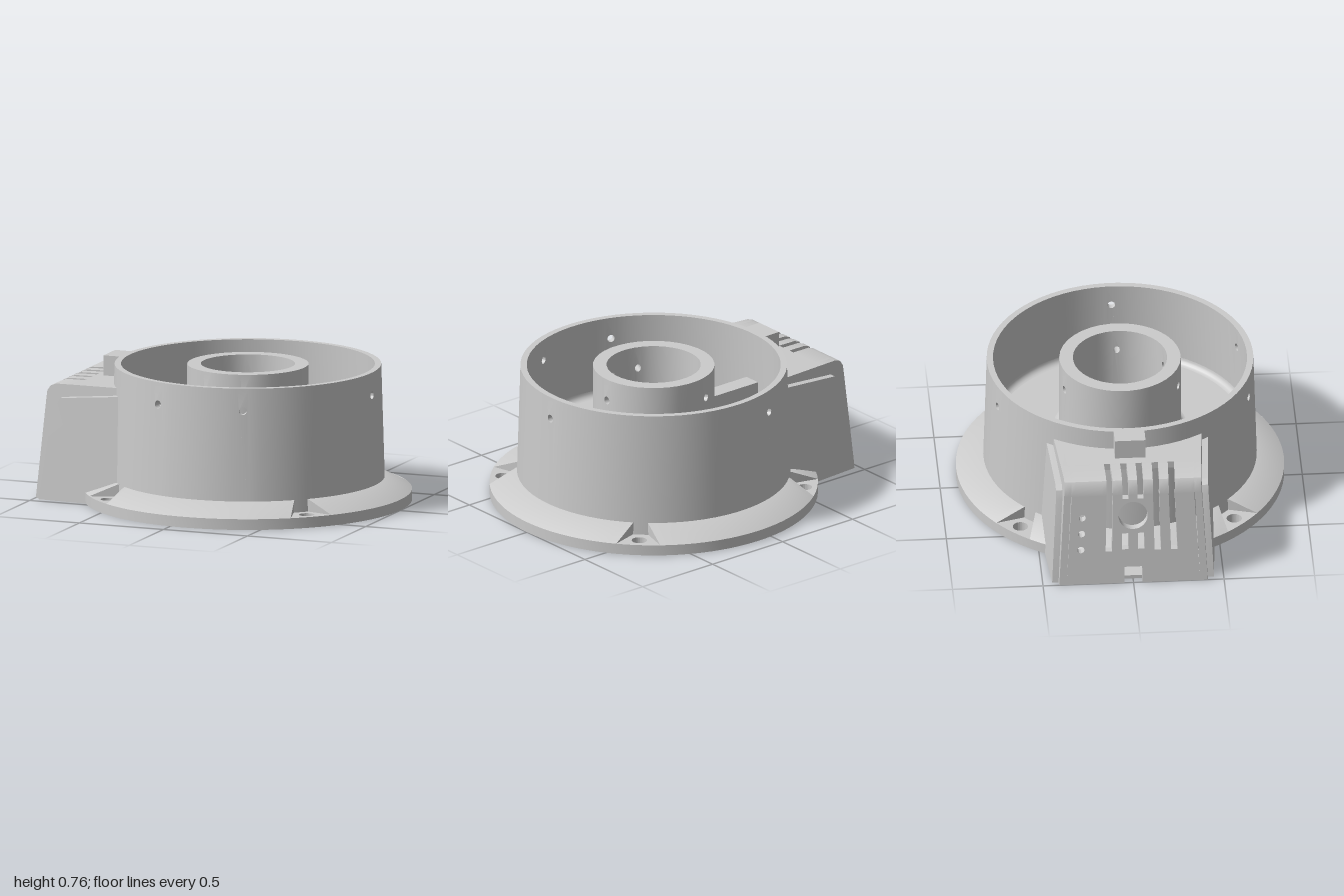
import * as THREE from 'three';
import { mergeGeometries, toCreasedNormals } from 'three/addons/utils/BufferGeometryUtils.js';

const mat = new THREE.MeshStandardMaterial({ color: 0xcccccc, side: THREE.DoubleSide });
const CX = 0.095, RAD = Math.PI / 180;
const HOLE_ANGLES = [20, 90, 200, 340]; // measured from +z towards +x

const toShape = (pts) => new THREE.Shape(pts.map(([x, y]) => new THREE.Vector2(x, y)));

function addEllipse(shape, x, y, rx, ry = rx) {
  shape.holes.push(new THREE.Path().absellipse(x, y, rx, ry, 0, Math.PI * 2));
}

// Extrude a shape, then move every vertex by a rule
function extrude(shape, depth, steps, rule) {
  const geo = new THREE.ExtrudeGeometry(shape, { depth, steps, bevelEnabled: false, curveSegments: 16 });
  const p = geo.attributes.position;
  for (let i = 0; i < p.count; i++) p.setXYZ(i, ...rule(p.getX(i), p.getY(i), p.getZ(i)));
  return geo;
}

function add(parent, name, geo, smooth = true) {
  const mesh = new THREE.Mesh(smooth ? toCreasedNormals(geo, 0.5) : geo, mat);
  mesh.name = name;
  parent.add(mesh);
  return mesh;
}

// Flat plate of a given shape lying between y and y + h
function plate(shape, y, h) {
  const geo = new THREE.ExtrudeGeometry(shape, { depth: h, bevelEnabled: false, curveSegments: 48 });
  return geo.rotateX(-Math.PI / 2).translate(0, y, 0);
}

const disc = (r) => new THREE.Shape().absarc(0, 0, r, 0, Math.PI * 2);

// Round wall of bent panels, with radial screw holes
function roundWall(r, thick, y0, y1, stepDeg, taper) {
  const half = stepDeg / 2 * RAD, panels = [];
  for (let deg = 0; deg < 360; deg += stepDeg) {
    const s = toShape([[-half, y0], [half, y0], [half, y1], [-half, y1]]);
    if (HOLE_ANGLES.includes(deg)) addEllipse(s, 0, 0.635, 0.022 / (r + thick), 0.022);
    panels.push(extrude(s, thick, 1, (u, y, w) => {
      const a = deg * RAD + u, rr = r + w + (y1 - y) * taper;
      return [rr * Math.sin(a), y, rr * Math.cos(a)];
    }));
  }
  return mergeGeometries(panels);
}

// Half-width of the side housing, and the lean of its end face
const halfWidth = (x, y) => 0.37 + 0.04 * (1 - y / 0.645) + 0.08 * (x + 1);
const endX = (y) => -1 + 0.09 * y;

// Housing piece: side profile swept over a share of the width; inner end follows the drum
function housingPiece(pts, z0, z1, extra = 0) {
  return extrude(toShape(pts), z1 - z0, Math.max(1, Math.round((z1 - z0) * 16)), (x, y, t) => {
    const z = (z0 + t) * (halfWidth(x, y) + extra);
    return [x > -0.501 ? CX - Math.sqrt(0.72 ** 2 - z * z) : x, y, z];
  });
}

function buildDrum() {
  const g = new THREE.Group();
  g.name = 'drum';
  g.position.x = CX;

  // Base plate with mounting and screw holes
  const base = disc(0.905);
  for (const a of [45, 135, 225, 315]) addEllipse(base, 0.835 * Math.sin(a * RAD), -0.835 * Math.cos(a * RAD), 0.042);
  for (const a of [97, 217, 337]) addEllipse(base, 0.78 * Math.sin(a * RAD), -0.78 * Math.cos(a * RAD), 0.026);
  add(g, 'basePlate', plate(base, 0, 0.06));

  // Sloping flange, split by four pockets that widen outwards
  const slope = [[0.73, 0.06], [0.905, 0.06], [0.76, 0.13], [0.73, 0.13]];
  for (let q = 0; q < 4; q++) {
    const geo = extrude(toShape(slope), 1, 24, (r, y, t) => {
      const gap = 0.05 + (r - 0.75) * 0.55;
      const a = Math.PI / 4 + q * Math.PI / 2 - gap - t * (Math.PI / 2 - 2 * gap);
      return [r * Math.sin(a), y, r * Math.cos(a)];
    });
    add(g, 'flangeSlope', geo);
  }

  add(g, 'outerWall', roundWall(0.7, 0.035, 0.05, 0.76, 5, 0.03));
  add(g, 'innerRing', roundWall(0.26, 0.075, 0.28, 0.76, 10, 0));

  // Floor with a curved, ramped slot
  const floor = disc(0.712);
  const a0 = -134 * RAD, a1 = -82 * RAD;
  const slot = new THREE.Path();
  slot.absarc(0, 0, 0.57, a0, a1, false);
  slot.absarc(0, 0, 0.44, a1, a0, true);
  slot.closePath();
  floor.holes.push(slot);
  add(g, 'floor', plate(floor, 0.2, 0.1));
  const ramp = new THREE.RingGeometry(0.43, 0.58, 24, 1, a0, a1 - a0).rotateX(-Math.PI / 2);
  const p = ramp.attributes.position;
  for (let i = 0; i < p.count; i++) {
    const t = (Math.atan2(-p.getZ(i), p.getX(i)) - a0) / (a1 - a0);
    p.setY(i, 0.21 + 0.085 * Math.min(1, t * 1.2));
  }
  ramp.computeVertexNormals();
  add(g, 'slotRamp', ramp, false);

  // Fillets where the floor meets the walls
  const fillet = (r, dir) => {
    const pts = [];
    for (let i = 0; i <= 5; i++) {
      const a = i / 5 * Math.PI / 2;
      pts.push(new THREE.Vector2(r + dir * 0.035 * (1 - Math.sin(a)), 0.3 + 0.035 * (1 - Math.cos(a))));
    }
    return new THREE.LatheGeometry(pts, 72);
  };
  add(g, 'outerFillet', fillet(0.712, -1), false);
  add(g, 'ringFillet', fillet(0.335, 1), false);

  // Centre disc with screw holes and hexagonal hub
  const centre = disc(0.205);
  for (const [x, y] of [[-0.06, 0.16], [0.06, 0.16], [-0.06, -0.16], [0.06, -0.16], [-0.065, 0], [0.11, 0], [-0.05, 0.09], [-0.05, -0.09]])
    addEllipse(centre, x, y, 0.01);
  add(g, 'centreDisc', plate(centre, 0.3, 0.02));
  const hub = disc(0.055);
  addEllipse(hub, 0, 0, 0.04);
  add(g, 'hubRim', plate(hub, 0.32, 0.015));
  const nut = toShape([0, 1, 2, 3, 4, 5].map((i) => [0.032 * Math.cos(i * Math.PI / 3), 0.032 * Math.sin(i * Math.PI / 3)]));
  addEllipse(nut, 0, 0, 0.012);
  add(g, 'hubNut', plate(nut, 0.32, 0.02));

  // Cable conduit from the wall into the ring
  add(g, 'conduit', new THREE.BoxGeometry(0.5, 0.2, 0.1).translate(-0.455, 0.38, 0), false);
  return g;
}

function buildHousing() {
  const g = new THREE.Group();
  g.name = 'sideHousing';
  const slots = [-0.34, -0.11, 0.11, 0.34, 0.57], h = 0.045;

  // Side walls with raised cheeks, mirrored
  const side = [[-1, 0], [endX(0.55), 0.55], [-0.945, 0.6], [-0.925, 0.63], [-0.89, 0.643], [-0.78, 0.645], [-0.5, 0.65], [-0.5, 0]];
  const cheek = [[-0.97, 0], [-0.9, 0.5], [-0.88, 0.55], [-0.85, 0.572], [-0.5, 0.61], [-0.5, 0]];
  for (const z0 of [-1, 0.9]) {
    add(g, 'sideWall', housingPiece(side, z0, z0 + 0.1));
    add(g, 'cheek', housingPiece(cheek, z0, z0 + 0.1, 0.035));
  }

  // Top and bottom plates
  add(g, 'topPlate', housingPiece([[-0.78, 0.645], [-0.5, 0.65], [-0.5, 0.61], [-0.78, 0.605]], -0.9, 0.9));
  add(g, 'bottomPlate', housingPiece([[-0.965, 0.004], [-0.5, 0.004], [-0.5, 0.025], [-0.965, 0.025]], -0.9, 0.9));

  // Rounded shoulder, left open at the vent slots
  const band = [[endX(0.55), 0.55], [-0.945, 0.6], [-0.925, 0.63], [-0.89, 0.643], [-0.78, 0.645], [-0.78, 0.605], [-0.89, 0.603], [-0.91, 0.55]];
  const edges = [-0.9, ...slots.flatMap((s) => [s - h, s + h]), 0.9];
  for (let i = 0; i < edges.length; i += 2) add(g, 'shoulderRib', housingPiece(band, edges[i], edges[i + 1]));

  // End plate: vent slots from the top, cable notch below, connector holes
  const outline = [[-0.9, 0], [-0.12, 0], [-0.12, 0.1], [0.12, 0.1], [0.12, 0], [0.9, 0], [0.9, 0.55]];
  for (const s of [...slots].reverse()) {
    const low = Math.abs(s) < 0.2 ? 0.525 : 0.2;
    outline.push([s + h, 0.55], [s + h, low], [s - h, low], [s - h, 0.55]);
  }
  outline.push([-0.9, 0.55]);
  const end = toShape(outline);
  addEllipse(end, 0, 0.42, 0.21, 0.085);
  for (const y of [0.415, 0.315, 0.215]) addEllipse(end, -0.73, y, 0.05, 0.02);
  for (const s of [-0.11, 0.11])
    end.holes.push(new THREE.Path([[s - h, 0.21], [s + h, 0.21], [s + h, 0.31], [s - h, 0.31]].map(([x, y]) => new THREE.Vector2(x, y))));
  add(g, 'endPlate', extrude(end, 0.04, 1, (u, y, w) => [endX(y) + 0.04 - w, y, u * halfWidth(-1, y)]));

  // Cable tab on the drum rim
  add(g, 'rimTab', new THREE.BoxGeometry(0.11, 0.16, 0.17).translate(-0.675, 0.68, 0), false);
  return g;
}

export function createModel() {
  const model = new THREE.Group();
  model.name = 'roundEnclosure';
  model.add(buildDrum(), buildHousing());
  return model;
}
